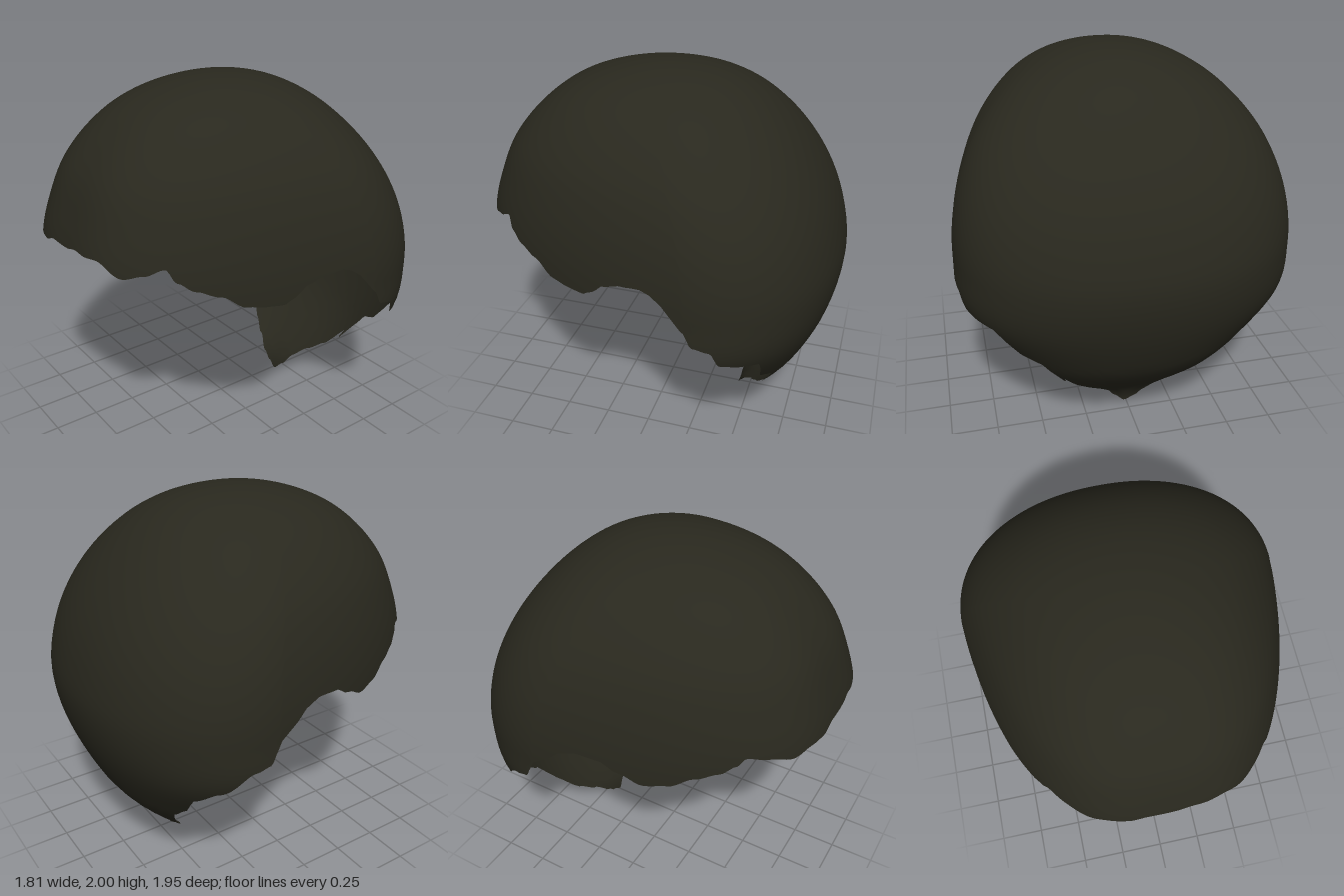
import * as THREE from 'three';

// Horizontal sections of the cap: y, front z, back z, half width, z of the widest point
const SECTIONS = [
  [2, 0.02, 0.02, 0, 0.02], [1.97, 0.28, -0.24, 0.23, 0.01], [1.9, 0.495, -0.42, 0.415, -0.03],
  [1.8, 0.655, -0.565, 0.565, -0.09], [1.6, 0.835, -0.75, 0.742, -0.19], [1.4, 0.925, -0.872, 0.838, -0.26],
  [1.2, 0.98, -0.945, 0.888, -0.3], [1, 0.975, -0.975, 0.903, -0.31], [0.76, 0.95, -0.933, 0.885, -0.3],
  [0.5, 0.85, -0.828, 0.7, -0.3], [0.36, 0.78, -0.73, 0.59, -0.3], [0.25, 0.7, -0.62, 0.49, -0.3],
  [0.1, 0.5, -0.47, 0.3, -0.28], [0, 0.4, -0.43, 0.2, -0.27],
];
const depth = SECTIONS.map((r) => Math.sqrt(2 - r[0]));

// Ragged hem: brow and nape given as [x, y], each side as [z, y]
const BROW = [[-0.6, 1.2], [-0.57, 1.24], [-0.5, 1.22], [-0.4, 1.19], [-0.3, 1.215], [-0.2, 1.22], [-0.1, 1.25],
  [0, 1.25], [0.12, 1.268], [0.2, 1.26], [0.28, 1.265], [0.42, 1.205], [0.5, 1.23], [0.56, 1.265], [0.6, 1.2]];
const SIDE_LEFT = [[0.62, 1.155], [0.52, 1.12], [0.4, 1.05], [0.3, 1.035], [0.22, 1.03], [0.16, 1.06], [0.1, 1.11],
  [0, 1.14], [-0.1, 1.15], [-0.18, 1.13], [-0.23, 1.08], [-0.25, 1.03], [-0.31, 0.98], [-0.37, 0.89], [-0.45, 0.87],
  [-0.5, 0.78]];
const SIDE_RIGHT = [[0.62, 1.155], [0.52, 1.12], [0.4, 1.06], [0.28, 1.04], [0.16, 1.09], [0.06, 1.14],
  [-0.06, 1.15], [-0.17, 1.12], [-0.23, 1.06], [-0.32, 0.97], [-0.37, 0.89], [-0.44, 0.87]];
const NAPE = [[0.8, 0.76], [0.74, 0.75], [0.68, 0.66], [0.61, 0.57], [0.52, 0.53], [0.46, 0.45], [0.4, 0.39],
  [0.37, 0.32], [0.3, 0.27], [0.2, 0.2], [0.12, 0.13], [0.08, 0.06], [0.01, 0], [-0.05, 0.03], [-0.1, 0.07],
  [-0.2, 0.15], [-0.3, 0.22], [-0.4, 0.34], [-0.5, 0.48], [-0.59, 0.55], [-0.69, 0.68], [-0.8, 0.75]];

// Smooth (Hermite) interpolation of the section table
function sectionAt(s) {
  const last = depth.length - 1;
  let i = 0;
  while (i < last - 1 && s > depth[i + 1]) i++;
  const h = depth[i + 1] - depth[i];
  const t = Math.min(1, Math.max(0, (s - depth[i]) / h));
  const slope = (k, c) => {
    const a = Math.max(0, k - 1), b = Math.min(last, k + 1);
    return (SECTIONS[b][c] - SECTIONS[a][c]) / (depth[b] - depth[a]);
  };
  return [1, 2, 3, 4].map((c) =>
    (1 + 2 * t) * (1 - t) ** 2 * SECTIONS[i][c] + t * (1 - t) ** 2 * h * slope(i, c) +
    t * t * (3 - 2 * t) * SECTIONS[i + 1][c] + t * t * (t - 1) * h * slope(i + 1, c));
}

// Point on the cap at angle a (0 = front, positive towards the left) and depth s.
// The section is round at the crown; lower down the front half tapers to a blunt brow.
function pointAt(a, s) {
  const [front, back, width, mid] = sectionAt(s);
  const sin = Math.sin(a), cos = Math.cos(a);
  const blend = THREE.MathUtils.smoothstep(s, 0, 0.9);
  const e = 2 / (cos > 0 ? 2.05 + 1.0 * blend : 2.05 + 0.13 * blend);
  const t = Math.abs(cos) ** e;
  const taper = cos > 0 ? 1 - 0.24 * blend * t ** 1.25 : 1;
  const x = width * Math.sign(sin) * Math.abs(sin) ** e * taper;
  return new THREE.Vector3(x, 2 - s * s, mid + ((cos > 0 ? front : back) - mid) * t);
}

function normalAt(a, s) {
  const d = 0.012;
  const down = pointAt(a, s + d).sub(pointAt(a, s - d));
  const around = pointAt(a + d, s).sub(pointAt(a - d, s));
  return down.cross(around).normalize();
}

// Angle between lo and hi at which the section at height y reaches a given x or z
function angleFor(axis, value, y, lo, hi) {
  const s = Math.sqrt(2 - y);
  const rising = pointAt(hi, s)[axis] > pointAt(lo, s)[axis];
  for (let k = 0; k < 30; k++) {
    const m = (lo + hi) / 2;
    if (pointAt(m, s)[axis] < value === rising) lo = m;
    else hi = m;
  }
  return lo;
}

// Convert hem points to [angle, y], sorted and wrapped around the back
function buildHem() {
  const hem = [];
  const half = Math.PI / 2;
  for (const [x, y] of BROW) hem.push([Math.sign(x) * angleFor('x', Math.abs(x), y, 0, half), y]);
  for (const [x, y] of NAPE) hem.push([Math.sign(x) * angleFor('x', Math.abs(x), y, half, Math.PI), y]);
  for (const [z, y] of SIDE_LEFT) hem.push([angleFor('z', z, y, 0, Math.PI), y]);
  for (const [z, y] of SIDE_RIGHT) hem.push([-angleFor('z', z, y, 0, Math.PI), y]);
  hem.sort((p, q) => p[0] - q[0]);
  const first = hem[0], end = hem[hem.length - 1];
  return [[end[0] - 2 * Math.PI, end[1]], ...hem, [first[0] + 2 * Math.PI, first[1]]];
}

function hemHeight(hem, a) {
  let i = 0;
  while (i < hem.length - 2 && a > hem[i + 1][0]) i++;
  const t = (a - hem[i][0]) / Math.max(1e-6, hem[i + 1][0] - hem[i][0]);
  return THREE.MathUtils.lerp(hem[i][1], hem[i + 1][1], THREE.MathUtils.smoothstep(t, 0, 1));
}

// Columns run from the crown down to the hem
function capGeometry(columns, rows) {
  const hem = buildHem();
  const positions = [...pointAt(0, 0)];
  const normals = [0, 1, 0];
  const index = [];
  const id = (i, j) => (j === 0 ? 0 : 1 + (i % columns) * rows + j - 1);
  for (let i = 0; i < columns; i++) {
    const a = -Math.PI + (2 * Math.PI * i) / columns;
    const end = Math.sqrt(2 - hemHeight(hem, a));
    for (let j = 1; j <= rows; j++) {
      const s = (end * j) / rows;
      positions.push(...pointAt(a, s));
      normals.push(...normalAt(a, s));
    }
    for (let j = 0; j < rows; j++) {
      index.push(id(i, j), id(i, j + 1), id(i + 1, j + 1));
      if (j > 0) index.push(id(i, j), id(i + 1, j + 1), id(i + 1, j));
    }
  }
  const geometry = new THREE.BufferGeometry();
  geometry.setAttribute('position', new THREE.Float32BufferAttribute(positions, 3));
  geometry.setAttribute('normal', new THREE.Float32BufferAttribute(normals, 3));
  geometry.setIndex(index);
  return geometry;
}

export function createModel() {
  const hairColour = new THREE.MeshStandardMaterial({ color: 0x29281e, side: THREE.DoubleSide });
  hairColour.name = 'dark olive hair';
  const cap = new THREE.Mesh(capGeometry(320, 48), hairColour);
  cap.name = 'hairCap';
  const group = new THREE.Group();
  group.name = 'hair';
  group.add(cap);
  return group;
}
